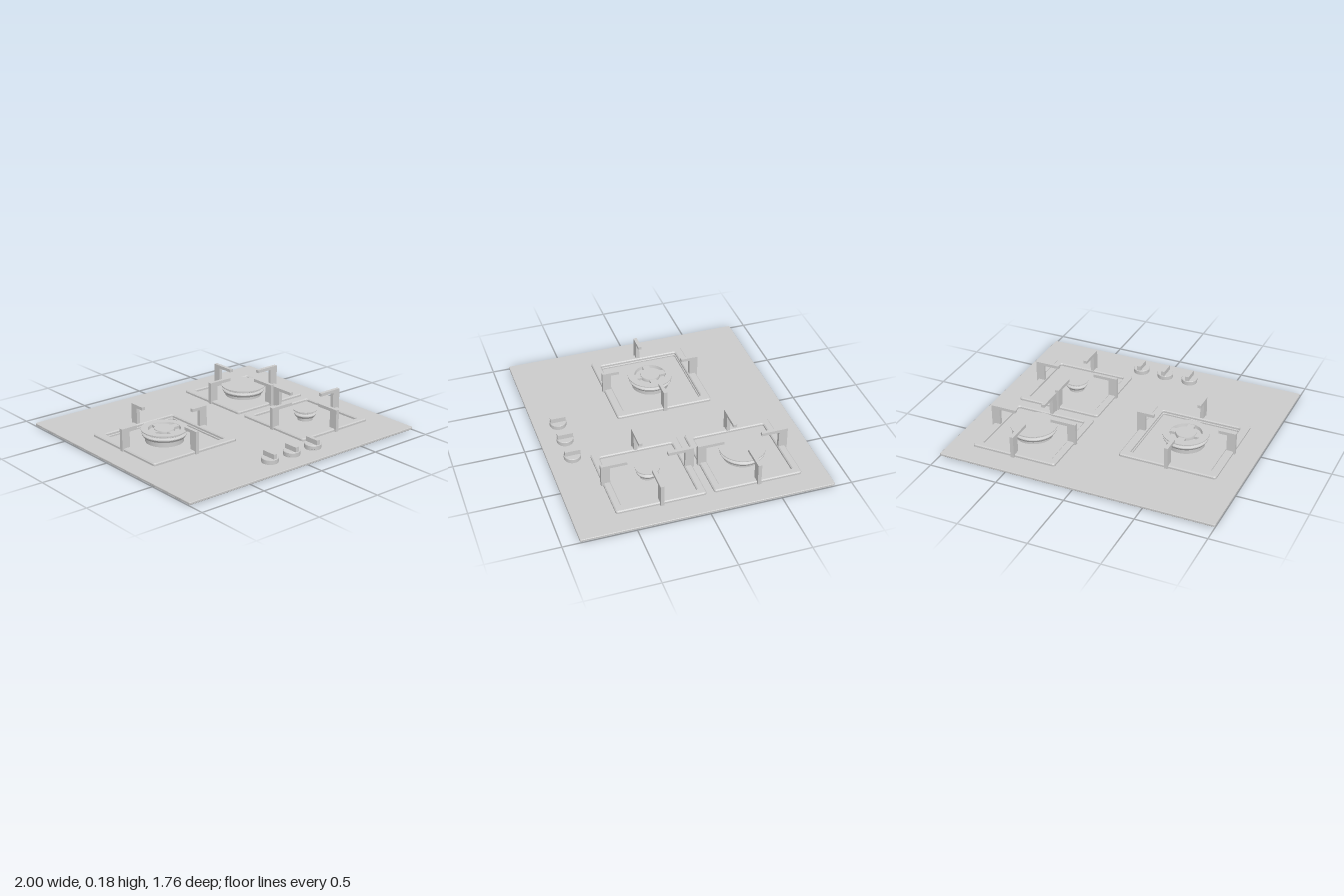
import * as THREE from 'three';
import { toCreasedNormals } from 'three/addons/utils/BufferGeometryUtils.js';

const material = new THREE.MeshStandardMaterial({ color: 0xcccccc });
const SLAB_TOP = 0.022;

function add(parent, name, geometry, x = 0, y = 0, z = 0) {
  const mesh = new THREE.Mesh(geometry, material);
  mesh.name = name;
  mesh.position.set(x, y, z);
  parent.add(mesh);
  return mesh;
}

function group(parent, name, x = 0, z = 0) {
  const g = new THREE.Group();
  g.name = name;
  g.position.set(x, 0, z);
  parent.add(g);
  return g;
}

// Rounded rectangle outline, usable as a shape or a hole
function roundedRect(target, hw, hh, r) {
  target.moveTo(-hw + r, -hh);
  target.lineTo(hw - r, -hh);
  target.quadraticCurveTo(hw, -hh, hw, -hh + r);
  target.lineTo(hw, hh - r);
  target.quadraticCurveTo(hw, hh, hw - r, hh);
  target.lineTo(-hw + r, hh);
  target.quadraticCurveTo(-hw, hh, -hw, hh - r);
  target.lineTo(-hw, -hh + r);
  target.quadraticCurveTo(-hw, -hh, -hw + r, -hh);
  return target;
}

// Horizontal plate of a shape between two heights, with chamfered rims
function plate(shape, y0, y1, bevel) {
  const geometry = new THREE.ExtrudeGeometry(shape, {
    depth: y1 - y0 - 2 * bevel, curveSegments: 5,
    bevelEnabled: true, bevelSize: bevel, bevelThickness: bevel, bevelOffset: -bevel, bevelSegments: 1,
  });
  geometry.rotateX(-Math.PI / 2).translate(0, y0 + bevel, 0);
  return geometry;
}

function lathe(points) {
  const geometry = new THREE.LatheGeometry(points.map(([r, y]) => new THREE.Vector2(r, y)), 56);
  return toCreasedNormals(geometry, 0.5);
}

// Low square frame with four hooked pan supports
function addGrate(parent, outer, inner, reach, armInner) {
  const grate = group(parent, 'grate');
  const shape = roundedRect(new THREE.Shape(), outer, outer, 0.02);
  shape.holes.push(roundedRect(new THREE.Path(), inner, inner, 0.015));
  add(grate, 'grateFrame', plate(shape, 0.01, 0.042, 0.007));

  const hook = new THREE.Shape();
  hook.moveTo(reach, 0.02);
  hook.lineTo(reach, 0.182);
  hook.lineTo(armInner, 0.182);
  hook.lineTo(armInner, 0.16);
  hook.lineTo(reach - 0.062, 0.16);
  hook.lineTo(reach - 0.062, 0.02);
  const hookGeometry = new THREE.ExtrudeGeometry(hook, { depth: 0.026, bevelEnabled: false });
  hookGeometry.translate(0, 0, -0.013);
  for (let i = 0; i < 4; i++) {
    add(grate, 'panSupport', hookGeometry).rotation.y = i * Math.PI / 2;
  }
}

// Burner: flared base, ring of flame ports, thin cap
function addBurner(parent, r, floor, hasInnerRing) {
  const burner = group(parent, 'burner');
  const neck = r - 0.03;
  add(burner, 'burnerBase', lathe([
    [r - 0.03, floor], [r - 0.03, 0.043], [r - 0.018, 0.046], [r - 0.007, 0.062],
    [r - 0.007, 0.068], [r - 0.02, 0.076], [neck, 0.076], [neck, 0.096],
  ]));

  const count = Math.round(neck * 2 * Math.PI / 0.018);
  const tooth = new THREE.BoxGeometry(0.014, 0.018, 0.008);
  for (let i = 0; i < count; i++) {
    const a = i / count * Math.PI * 2;
    add(burner, 'flamePort', tooth, Math.cos(a) * neck, 0.084, Math.sin(a) * neck).rotation.y = -a;
  }

  const rim = [[0.02, 0.094], [r, 0.094], [r, 0.1]];
  if (!hasInnerRing) {
    add(burner, 'burnerCap', lathe([...rim, [0, 0.1]]));
    return;
  }
  // Cap split by a round channel, crossed by four bridges
  add(burner, 'burnerCap', lathe([
    [neck, 0.094], [r, 0.094], [r, 0.1], [0.113, 0.1], [0.108, 0.078],
    [0.072, 0.078], [0.072, 0.096], [0.07, 0.102], [0, 0.102],
  ]));
  for (let i = 0; i < 4; i++) {
    const a = i * Math.PI / 2;
    add(burner, 'channelBridge', new THREE.BoxGeometry(0.046, 0.02, 0.05),
      Math.cos(a) * 0.09, 0.087, Math.sin(a) * 0.09).rotation.y = -a;
  }
}

export function createModel() {
  const hob = new THREE.Group();
  hob.name = 'gasHob';

  // Worktop plate with a square opening for the large burner
  const wellX = -0.475, wellZ = -0.06, wellHalf = 0.285;
  const top = roundedRect(new THREE.Shape(), 1, 0.88, 0.012);
  const opening = roundedRect(new THREE.Path(), wellHalf, wellHalf, 0.015);
  const hole = new THREE.Path(opening.getPoints(5).map((p) => new THREE.Vector2(p.x + wellX, p.y - wellZ)));
  top.holes.push(hole);
  add(hob, 'worktop', plate(top, 0.004, SLAB_TOP, 0.003));

  // Shallow pan closing the opening
  const pan = roundedRect(new THREE.Shape(), wellHalf + 0.004, wellHalf + 0.004, 0.015);
  add(hob, 'burnerPan', plate(pan, 0, 0.009, 0.002), wellX, 0, wellZ);

  // Cooking zones
  const zones = [
    { name: 'largeZone', x: wellX, z: wellZ, outer: 0.352, inner: 0.292, reach: 0.363, arm: 0.238, r: 0.163, floor: 0.006, ring: true },
    { name: 'backZone', x: 0.525, z: -0.397, outer: 0.312, inner: 0.26, reach: 0.325, arm: 0.137, r: 0.163, floor: 0.02 },
    { name: 'frontZone', x: 0.525, z: 0.281, outer: 0.312, inner: 0.26, reach: 0.325, arm: 0.143, r: 0.085, floor: 0.02 },
  ];
  for (const s of zones) {
    const zone = group(hob, s.name, s.x, s.z);
    addGrate(zone, s.outer, s.inner, s.reach, s.arm);
    addBurner(zone, s.r, s.floor, s.ring);
  }

  // Control knobs
  for (const x of [-0.193, 0, 0.193]) {
    const knob = group(hob, 'knob', x, 0.711);
    add(knob, 'knobBase', lathe([[0.055, 0.02], [0.055, 0.028], [0.059, 0.03], [0.059, 0.054], [0.056, 0.058], [0, 0.058]]));
    add(knob, 'knobGrip', new THREE.BoxGeometry(0.027, 0.036, 0.108), 0, 0.074, 0);
  }
  return hob;
}
